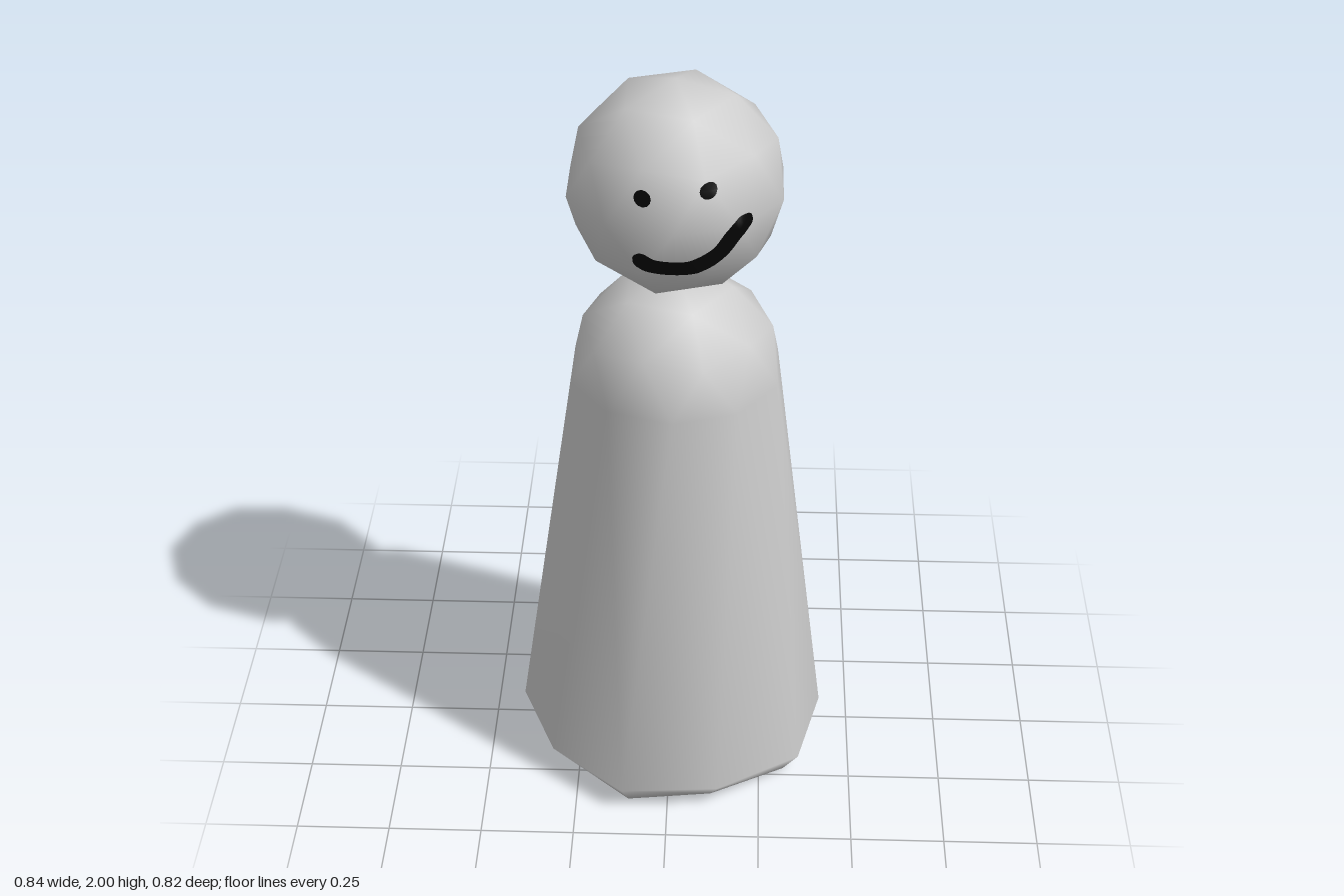
import * as THREE from 'three';
import { mergeVertices } from 'three/addons/utils/BufferGeometryUtils.js';

const CENTER_X = 0.01, R = 0.28, HEAD_Y = 1.72, SHOULDER_Y = 1.185;

// Low-poly ball with one corner straight up and smooth normals
function headGeometry() {
  let g = new THREE.IcosahedronGeometry(R, 1);
  g.deleteAttribute('uv');
  g.deleteAttribute('normal');
  g.rotateX(-Math.atan((1 + Math.sqrt(5)) / 2));
  g.rotateY(Math.PI / 2);
  g.translate(CENTER_X, HEAD_Y, 0);
  g = mergeVertices(g, 1e-4);
  g.computeVertexNormals();
  return g;
}

// Half a faceted ball on top, flaring to a wide foot with a chamfered flat base
function bodyGeometry() {
  const pos = [], index = [];
  const ring = (n, startDeg, fn) => {
    const first = pos.length / 3;
    for (let i = 0; i < n; i++) {
      const a = THREE.MathUtils.degToRad(startDeg + (i * 360) / n);
      const [r, y] = fn(i);
      pos.push(CENTER_X + r * Math.cos(a), y, -r * Math.sin(a));
    }
    return (i) => first + (i + n) % n;
  };
  const even = (i) => i % 2 === 0;
  const top = ring(1, 0, () => [0, SHOULDER_Y + R]);
  const crown = ring(5, 0, () => [0.526 * R, SHOULDER_Y + 0.851 * R]);
  const upper = ring(10, 0, (i) => even(i)
    ? [0.894 * R, SHOULDER_Y + 0.447 * R] : [0.851 * R, SHOULDER_Y + 0.526 * R]);
  const waist = ring(10, 18, () => [R, SHOULDER_Y]);
  const foot = ring(10, 0, (i) => [even(i) ? 0.41 : 0.43, 0.07]);
  const base = ring(10, 0, (i) => [even(i) ? 0.35 : 0.38, 0]);
  const bottom = ring(1, 0, () => [0, 0]);

  for (let i = 0; i < 5; i++) {
    const j = 2 * i;
    index.push(top(0), crown(i), crown(i + 1));
    index.push(crown(i), upper(j + 1), crown(i + 1));
    index.push(crown(i), upper(j), upper(j + 1));
    index.push(crown(i), upper(j + 9), upper(j));
  }
  for (let i = 0; i < 10; i++) {
    index.push(upper(i), waist(i), upper(i + 1));
    index.push(upper(i + 1), waist(i), waist(i + 1));
    index.push(waist(i), foot(i), foot(i + 1));
    index.push(waist(i), foot(i + 1), waist(i + 1));
    index.push(foot(i), base(i), base(i + 1));
    index.push(foot(i), base(i + 1), foot(i + 1));
    index.push(bottom(0), base(i + 1), base(i));
  }
  const g = new THREE.BufferGeometry();
  g.setAttribute('position', new THREE.Float32BufferAttribute(pos, 3));
  g.setIndex(index);
  g.computeVertexNormals();
  return g;
}

// Returns a function giving the front surface depth of a convex solid at (x, y)
function frontDepth(geometry) {
  const flat = geometry.toNonIndexed().attributes.position;
  const planes = [];
  for (let i = 0; i < flat.count; i += 3) {
    const [a, b, c] = [0, 1, 2].map((k) => new THREE.Vector3().fromBufferAttribute(flat, i + k));
    const p = new THREE.Plane().setFromCoplanarPoints(a, b, c);
    if (p.normal.z > 0.01) planes.push(p);
  }
  return (x, y) => Math.min(...planes.map(
    ({ normal: n, constant: d }) => (-d - n.x * x - n.y * y) / n.z));
}

// Lays a flat patch onto the face
function drape(g, depth) {
  const p = g.attributes.position;
  for (let i = 0; i < p.count; i++) p.setZ(i, depth(p.getX(i), p.getY(i)) + 0.004);
  g.computeVertexNormals();
  return g;
}

// Curved smile stroke with rounded ends
function mouthGeometry() {
  const curve = new THREE.CatmullRomCurve3([
    [-0.085, 1.645], [-0.03, 1.62], [0.05, 1.617], [0.12, 1.65], [0.16, 1.705], [0.195, 1.742],
  ].map(([x, y]) => new THREE.Vector3(x, y, 0)));
  const length = curve.getLength(), half = 0.022;
  const g = new THREE.PlaneGeometry(1, 1, 48, 4), p = g.attributes.position;
  for (let i = 0; i < p.count; i++) {
    const u = THREE.MathUtils.clamp(p.getX(i) + 0.5, 0, 1), v = p.getY(i) * 2;
    const c = curve.getPointAt(u), t = curve.getTangentAt(u);
    const end = Math.min(1, Math.min(u, 1 - u) * length / half);
    const w = v * half * Math.sqrt(Math.max(0.05, 1 - (1 - end) ** 2));
    p.setXY(i, c.x - t.y * w, c.y + t.x * w);
  }
  return g;
}

export function createModel() {
  const group = new THREE.Group();
  group.name = 'pegFigure';
  const skin = new THREE.MeshStandardMaterial({ color: 0xcccccc });
  skin.name = 'plain grey';
  const ink = new THREE.MeshStandardMaterial({ color: 0x050505 });
  ink.name = 'black paint';
  const add = (name, geometry, material) => {
    const mesh = new THREE.Mesh(geometry, material);
    mesh.name = name;
    group.add(mesh);
  };

  const head = headGeometry();
  const depth = frontDepth(head);
  add('body', bodyGeometry(), skin);
  add('head', head, skin);

  // Painted face
  const eye = (x, y) => drape(new THREE.CircleGeometry(0.021, 12).translate(x, y, 0), depth);
  add('rightEye', eye(-0.062, 1.802), ink);
  add('leftEye', eye(0.095, 1.824), ink);
  add('mouth', drape(mouthGeometry(), depth), ink);
  return group;
}
